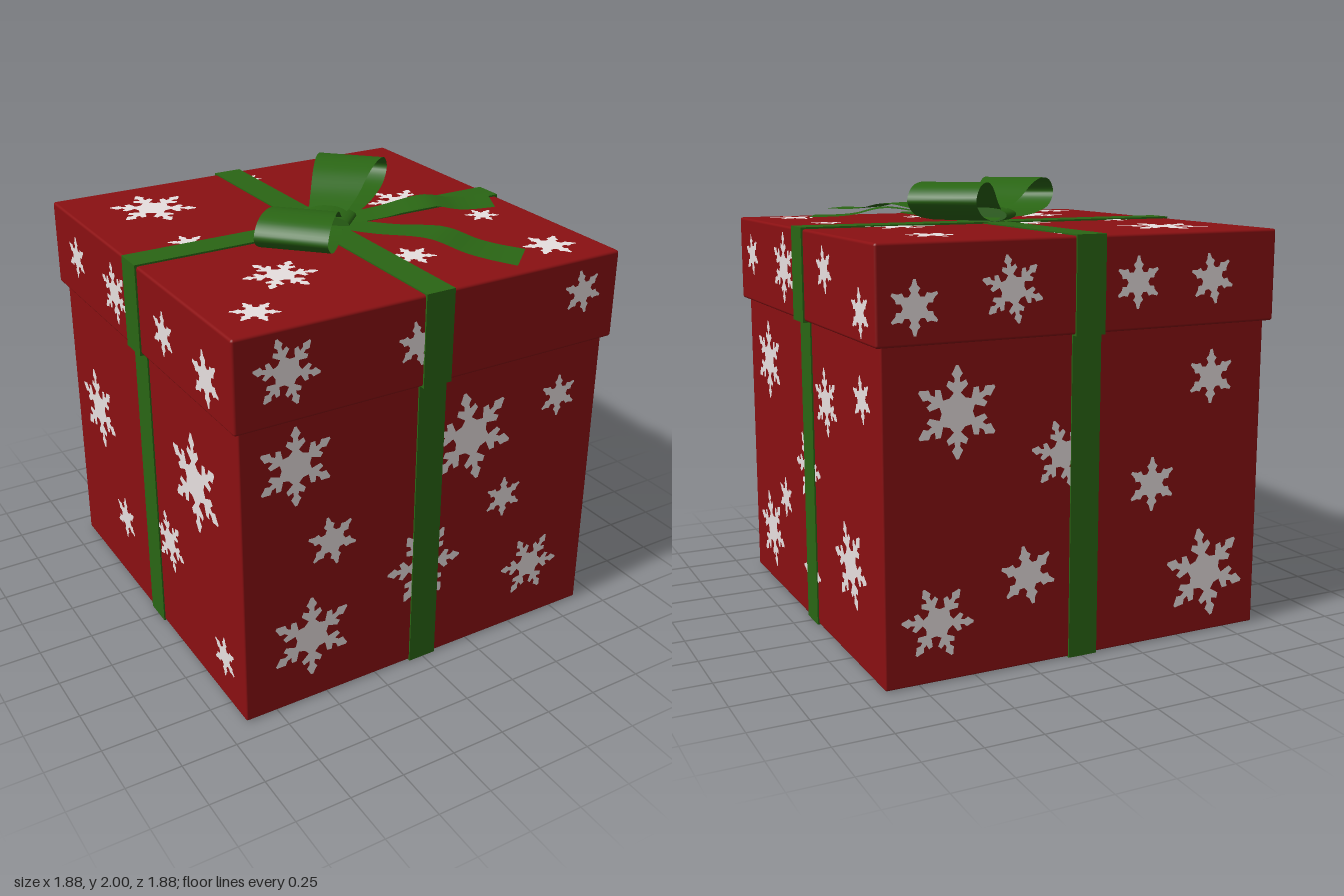
import * as THREE from 'three';
import { mergeGeometries } from 'three/addons/utils/BufferGeometryUtils.js';
import { RoundedBoxGeometry } from 'three/addons/geometries/RoundedBoxGeometry.js';

const paper = new THREE.MeshStandardMaterial({ color: 0x8a1012 });
paper.name = 'red paper';
const green = new THREE.MeshStandardMaterial({ color: 0x2a6614, side: THREE.DoubleSide });
green.name = 'green ribbon';
const snow = new THREE.MeshStandardMaterial({ color: 0xeae2e2 });
snow.name = 'snow white';

function add(parent, name, geometry, material, x = 0, y = 0, z = 0) {
  const mesh = new THREE.Mesh(geometry, material);
  mesh.name = name;
  mesh.position.set(x, y, z);
  parent.add(mesh);
  return mesh;
}

// Half arm outlines as [distance along arm, half width], mirrored and repeated six times
const BIG_ARM = [[0.31, 0.18], [0.42, 0.08], [0.58, 0.25], [0.69, 0.2], [0.63, 0.07], [0.73, 0.06], [0.82, 0.13], [0.9, 0.08], [1, 0.03]];
const SMALL_ARM = [[0.38, 0.22], [0.52, 0.13], [0.67, 0.22], [0.78, 0.11], [1, 0.05]];

function snowflake(u, v, r, turn = 0) {
  const half = r > 0.135 ? BIG_ARM : SMALL_ARM;
  const arm = [...half.map(([a, w]) => [a, -w]), ...half.slice(1).reverse()];
  const points = [];
  for (let i = 0; i < 6; i++) {
    const angle = Math.PI / 2 + turn + i * Math.PI / 3;
    const c = Math.cos(angle), s = Math.sin(angle);
    for (const [a, w] of arm) points.push(new THREE.Vector2(u + r * (a * c - w * s), v + r * (a * s + w * c)));
  }
  return new THREE.ShapeGeometry(new THREE.Shape(points));
}

// Ribbon surface swept through pairs of edge points
function ribbon(pairs) {
  const positions = [], index = [];
  pairs.forEach(([a, b], i) => {
    positions.push(...a, ...b);
    if (i) {
      const k = 2 * i;
      index.push(k - 2, k - 1, k, k - 1, k + 1, k);
    }
  });
  const g = new THREE.BufferGeometry();
  g.setAttribute('position', new THREE.Float32BufferAttribute(positions, 3));
  g.setIndex(index);
  g.computeVertexNormals();
  return g;
}

// Snowflakes per face as [u, v, radius, turn]
const BODY_FLAKES = {
  front: [[-0.65, 1.18, 0.18], [0.21, 1.08, 0.22, 0.2], [0.68, 1.16, 0.1], [-0.48, 0.78, 0.12, 0.2], [0.41, 0.72, 0.1],
    [-0.01, 0.5, 0.19, 0.5], [-0.58, 0.33, 0.2], [0.59, 0.3, 0.16, 0.45]],
  right: [[-0.59, 1.13, 0.19], [0.25, 1.07, 0.15, 0.15], [0.69, 1.16, 0.1, 0.2], [-0.02, 0.72, 0.17, 0.5], [-0.38, 0.49, 0.1],
    [-0.62, 0.27, 0.19, 0.3], [0.52, 0.42, 0.19, 0.4], [0, 0.23, 0.12, 0.5]],
  back: [[-0.58, 1.12, 0.19], [-0.1, 0.9, 0.15, 0.3], [0.63, 1.17, 0.12], [0.34, 0.72, 0.12], [-0.26, 0.4, 0.13, 0.2],
    [-0.67, 0.26, 0.16, 0.4], [0.63, 0.28, 0.21, 0.2]],
  left: [[-0.6, 0.84, 0.2, 0.2], [0.49, 0.97, 0.23, 0.1], [0.18, 0.51, 0.15, 0.3], [0.71, 0.22, 0.1], [-0.35, 0.35, 0.11]],
};
const LID_FLAKES = {
  front: [[-0.7, 1.62, 0.15, 0.3], [-0.1, 1.6, 0.1, 0.2], [0.74, 1.65, 0.1, 0.2]],
  right: [[-0.72, 1.63, 0.1, 0.2], [-0.21, 1.61, 0.16], [0.35, 1.65, 0.1, 0.2], [0.77, 1.52, 0.1, 0.1]],
  back: [[-0.77, 1.55, 0.11], [-0.35, 1.6, 0.14, 0.2], [0.23, 1.6, 0.11], [0.6, 1.6, 0.11, 0.2]],
  left: [[-0.65, 1.61, 0.1], [-0.2, 1.59, 0.14, 0.2], [0.31, 1.59, 0.1], [0.7, 1.55, 0.12, 0.2]],
};
const TOP_FLAKES = [[-0.56, 0.6, 0.2], [0.58, 0.65, 0.12, 0.2], [-0.14, 0.13, 0.1], [-0.62, 0.09, 0.09], [0.5, 0.1, 0.17, 0.3],
  [-0.46, -0.45, 0.16, 0.3], [-0.73, -0.74, 0.1], [0.71, -0.73, 0.12, 0.2], [0.13, -0.54, 0.1], [0.7, -0.26, 0.08], [0.03, 0.78, 0.07]];
const BOTTOM_FLAKES = [[0.65, -0.64, 0.12], [0.25, -0.28, 0.11], [0.34, 0.24, 0.17, 0.3], [0.57, 0.66, 0.12, 0.2],
  [-0.35, -0.42, 0.28, 0.2], [-0.16, 0.29, 0.1], [-0.57, 0.52, 0.18, 0.1]];

function flakes(parent, name, list, x, y, z, rx, ry) {
  const mesh = add(parent, name, mergeGeometries(list.map(f => snowflake(...f))), snow, x, y, z);
  mesh.rotation.set(rx, ry, 0);
}

export function createModel() {
  const model = new THREE.Group();
  model.name = 'giftBox';

  // Box and lid
  add(model, 'boxBody', new RoundedBoxGeometry(1.8, 1.42, 1.8, 2, 0.008), paper, 0, 0.714, 0);
  add(model, 'lid', new RoundedBoxGeometry(1.86, 0.4, 1.86, 2, 0.012), paper, 0, 1.6, 0);

  // Snowflake print on every face
  ['front', 'right', 'back', 'left'].forEach((side, i) => {
    const a = i * Math.PI / 2;
    const s = Math.sin(a), c = Math.cos(a);
    flakes(model, side + 'BodySnowflakes', BODY_FLAKES[side], s * 0.9025, 0, c * 0.9025, 0, a);
    flakes(model, side + 'LidSnowflakes', LID_FLAKES[side], s * 0.9325, 0, c * 0.9325, 0, a);
  });
  flakes(model, 'topSnowflakes', TOP_FLAKES, 0, 1.8025, 0, -Math.PI / 2, 0);
  flakes(model, 'bottomSnowflakes', BOTTOM_FLAKES, 0, 0.0015, 0, Math.PI / 2, 0);

  // Ribbon bands wrapped around the body and the lid
  add(model, 'bodyBandLengthwise', new THREE.BoxGeometry(0.135, 1.4, 1.814), green, -0.004, 0.7, 0);
  add(model, 'bodyBandCrosswise', new THREE.BoxGeometry(1.814, 1.399, 0.135), green, 0, 0.7005, -0.004);
  add(model, 'lidBandLengthwise', new THREE.BoxGeometry(0.137, 0.412, 1.876), green, -0.004, 1.6, 0);
  add(model, 'lidBandCrosswise', new THREE.BoxGeometry(1.876, 0.414, 0.137), green, 0, 1.601, -0.004);

  // Bow, running along its own x axis and turned diagonally
  const bow = new THREE.Group();
  bow.name = 'bow';
  bow.position.set(0.008, 0, 0.02);
  bow.rotation.y = Math.PI / 4;
  model.add(bow);

  // Loop profile as [reach, height, half width]
  const profile = [[0, 1.835, 0.08], [0.15, 1.822, 0.11], [0.35, 1.832, 0.14], [0.51, 1.865, 0.155], [0.575, 1.92, 0.157],
    [0.53, 1.975, 0.156], [0.42, 1.998, 0.15], [0.3, 1.975, 0.135], [0.15, 1.9, 0.11], [0, 1.85, 0.08]];
  const curve = new THREE.CatmullRomCurve3(profile.map(p => new THREE.Vector3(...p)));
  for (const side of [1, -1]) {
    const pairs = curve.getPoints(48).map(p => [[side * p.x, p.y, -p.z], [side * p.x, p.y, p.z]]);
    add(bow, side > 0 ? 'rightLoop' : 'leftLoop', ribbon(pairs), green);
  }

  // Flattened knot band
  const knot = new THREE.CylinderGeometry(1, 1, 0.14, 32);
  knot.rotateZ(Math.PI / 2);
  knot.scale(1, 0.036, 0.125);
  add(bow, 'knot', knot, green, 0, 1.837, 0);

  // Loose tails, given by start and end edge points in x and z
  const tailHeights = new THREE.CatmullRomCurve3(
    [[0, 1.825], [0.3, 1.845], [0.58, 1.875], [0.75, 1.848], [0.85, 1.841], [1, 1.841]].map(([t, y]) => new THREE.Vector3(t, y, 0)));
  const tail = (name, a0, a1, b0, b1) => {
    const mix = (p, q, t, y) => [p[0] + (q[0] - p[0]) * t, y, p[1] + (q[1] - p[1]) * t];
    add(model, name, ribbon(tailHeights.getPoints(24).map(p => [mix(a0, a1, p.x, p.y), mix(b0, b1, p.x, p.y)])), green);
  };
  tail('sideTail', [0.04, -0.025], [0.84, 0.11], [0.02, 0.115], [0.75, 0.29]);
  tail('frontTail', [-0.06, 0.06], [0.37, 0.94], [0.09, 0.04], [0.52, 0.8]);

  return model;
}
